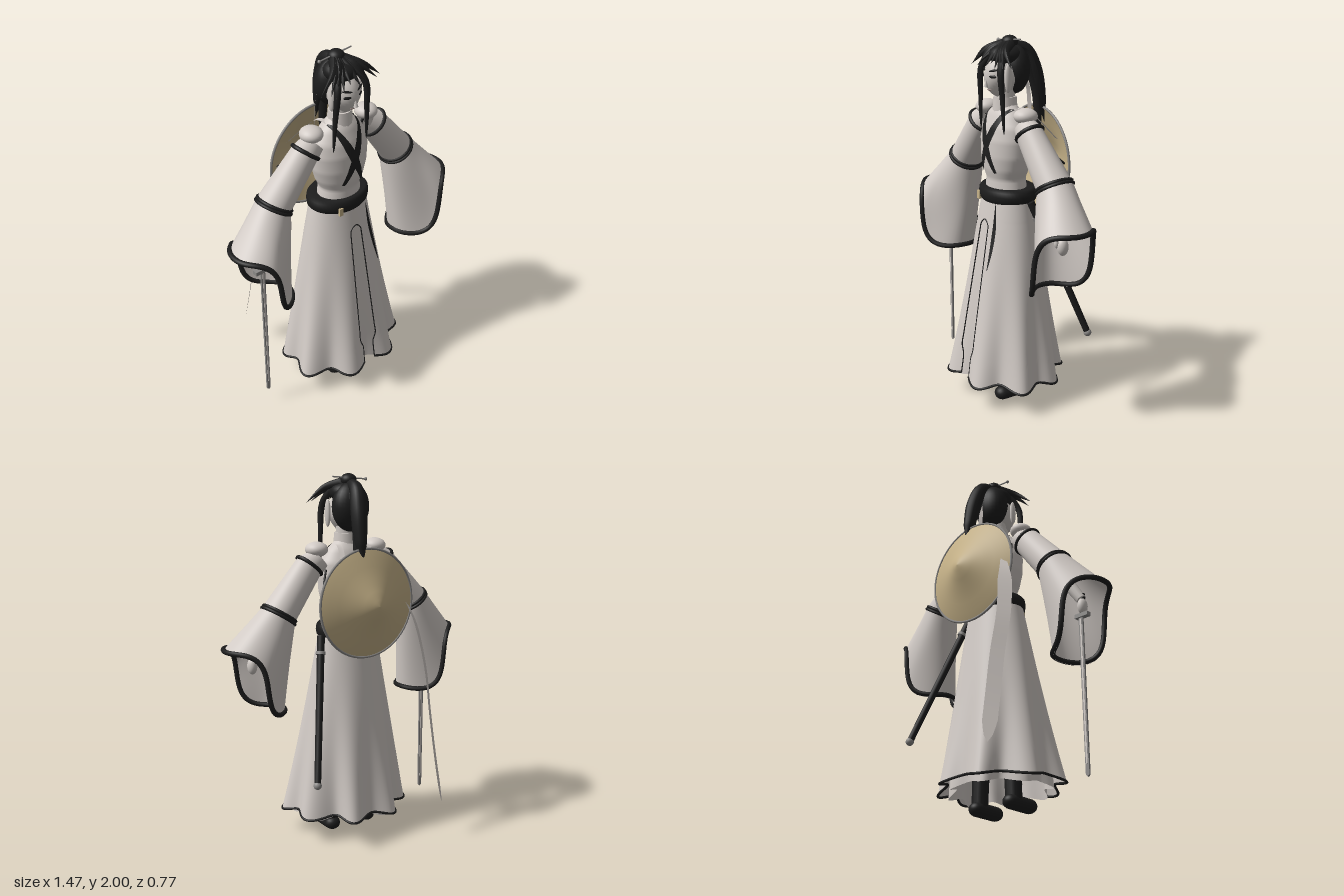
import * as THREE from 'three';
import { mergeVertices } from 'three/addons/utils/BufferGeometryUtils.js';

const V = (x, y, z) => new THREE.Vector3(x, y, z);
const mix = THREE.MathUtils.lerp;
const sstep = THREE.MathUtils.smoothstep;
const paint = (name, color) => {
  const m = new THREE.MeshStandardMaterial({ color, side: THREE.DoubleSide });
  m.name = name;
  return m;
};

// Grid surface from a rule f(u, v) -> Vector3, welded and smooth
function surface(f, nu, nv) {
  const pos = [], idx = [];
  for (let j = 0; j <= nv; j++)
    for (let i = 0; i <= nu; i++) pos.push(...f(i / nu, j / nv).toArray());
  for (let j = 0; j < nv; j++)
    for (let i = 0; i < nu; i++) {
      const a = j * (nu + 1) + i, b = a + nu + 1;
      idx.push(a, b, a + 1, a + 1, b, b + 1);
    }
  let g = new THREE.BufferGeometry();
  g.setAttribute('position', new THREE.Float32BufferAttribute(pos, 3));
  g.setIndex(idx);
  g = mergeVertices(g, 1e-5);
  g.computeVertexNormals();
  return g;
}

const curveOf = (pts, closed = false) => new THREE.CatmullRomCurve3(pts.map(p => p.isVector3 ? p : V(...p)), closed);
const tube = (pts, r, closed = false, n = 40) => new THREE.TubeGeometry(curveOf(pts, closed), n, r, 8, closed);

// Tube whose radius follows profile(t)
function lock(pts, r, profile = t => Math.sqrt(Math.max(0, 1 - t)), n = 20, sides = 8) {
  const c = curveOf(pts), g = new THREE.TubeGeometry(c, n, r, sides), p = g.attributes.position, v = V(0, 0, 0);
  for (let i = 0; i <= n; i++) {
    const o = c.getPointAt(i / n);
    for (let k = 0; k <= sides; k++) {
      const q = i * (sides + 1) + k;
      v.fromBufferAttribute(p, q).sub(o).multiplyScalar(profile(i / n)).add(o);
      p.setXYZ(q, v.x, v.y, v.z);
    }
  }
  g.computeVertexNormals();
  return g;
}

// Flat strip of cloth along a path
function strip(pts, width, dir, taper = t => 1) {
  const c = curveOf(pts), d = V(...dir).normalize();
  return surface((u, v) => c.getPointAt(v).addScaledVector(d, (u - 0.5) * width * taper(v)), 2, 30);
}

// Interpolate rows of numbers by their first entry
function row(table, k) {
  let i = 0;
  while (i < table.length - 2 && k > table[i + 1][0]) i++;
  const a = table[i], b = table[i + 1], t = THREE.MathUtils.clamp((k - a[0]) / (b[0] - a[0]), 0, 1);
  return a.map((x, n) => mix(x, b[n], t));
}

// Torso rows: height, half width, half depth
const TORSO = [[1.15, 0.135, 0.105], [1.25, 0.118, 0.1], [1.3, 0.142, 0.113], [1.37, 0.162, 0.121], [1.46, 0.17, 0.119],
  [1.53, 0.16, 0.105], [1.6, 0.115, 0.078], [1.645, 0.06, 0.05]];
const torsoZ = (x, y) => {
  const [, rx, rz] = row(TORSO, y);
  return 0.085 + rz * Math.sqrt(Math.max(0, 1 - (x / rx) ** 2));
};

// Skirt point at angle a from the front, t from waist to hem; the back corners are drawn in
function skirtPoint(a, t, scale = 1, drop = 0) {
  const fold = 1 + 0.095 * t * t * Math.cos(8 * a + Math.PI);
  const tuck = Math.cos(a) < 0 ? 1 - 0.17 * t * t * Math.sin(2 * a) ** 2 : 1;
  return V(Math.sin(a) * mix(0.17, 0.35, t) * fold * tuck * scale,
    mix(1.15, 0.14 - drop, t) + 0.012 * t ** 4 * Math.cos(8 * a),
    mix(0.075, 0.09, t) + Math.cos(a) * mix(0.125, 0.29, t) * fold * scale);
}
const slitTop = 0.12;
function slitAngle(t) {
  if (t <= slitTop) return 0;
  const x = Math.min(1, Math.sqrt((t - slitTop) / 0.03)) * (mix(0.032, 0.064, t) - 0.022 * sstep(t, 0.84, 0.9));
  return Math.asin(x / mix(0.17, 0.35, t));
}

// Sleeve rows: station, upper x y, lower x y, centre z, half depth
const SLEEVE = [[0, 0.22, 1.6, 0.13, 1.5, 0.085, 0.055], [0.15, 0.29, 1.57, 0.17, 1.47, 0.09, 0.068],
  [0.55, 0.51, 1.33, 0.35, 1.23, 0.072, 0.095], [1, 0.725, 1.095, 0.4, 0.745, 0.12, 0.18]];
function sleevePoint(s, a, t, grow = 1) {
  const [, px, py, qx, qy, zc, hz] = row(SLEEVE, t), m = sstep(t, 0.55, 1);
  const box = k => Math.sign(k) * Math.abs(k) ** mix(1, 0.87, m);
  const c = box(Math.cos(a)), p = c * grow, out = m * (1 - c * c) * (0.02 - 0.17 * c);
  return V(s * ((px + qx) / 2 + p * (px - qx) / 2 + 0.73 * out),
    (py + qy) / 2 + p * (py - qy) / 2 - 0.67 * out, zc + box(Math.sin(a)) * hz * grow);
}
const loop = (f, n = 48) => Array.from({ length: n }, (_, i) => f(i / n * Math.PI * 2));

export function createModel() {
  const model = new THREE.Group();
  model.name = 'wanderingSwordsman';
  const cloth = paint('cloth', 0xd2cbc6), skin = paint('skin', 0xcdc7c2), black = paint('black', 0x1d1d1d),
    straw = paint('straw', 0xc8b48a), metal = paint('metal', 0x8c8a88), lip = paint('lip', 0x94807c);
  const add = (name, geo, mat, at = [0, 0, 0], scale = [1, 1, 1]) => {
    const m = new THREE.Mesh(geo, mat);
    m.name = name;
    m.position.set(...at);
    m.scale.set(...scale);
    model.add(m);
    return m;
  };
  const ball = (name, mat, at, scale) => add(name, new THREE.SphereGeometry(1, 28, 18), mat, at, scale);
  const rod = (name, mat, a, b, r, r2 = r) => {
    const A = V(...a), B = V(...b);
    const m = add(name, new THREE.CylinderGeometry(r2, r, A.distanceTo(B), 14), mat, A.clone().add(B).multiplyScalar(0.5).toArray());
    m.quaternion.setFromUnitVectors(V(0, 1, 0), B.sub(A).normalize());
    return m;
  };

  // Torso, neck, collar and belt
  add('torso', surface((u, v) => {
    const [y, rx, rz] = row(TORSO, mix(1.15, 1.645, v)), a = u * Math.PI * 2;
    return V(Math.sin(a) * rx, y, 0.085 + Math.cos(a) * rz);
  }, 48, 40), cloth);
  rod('neck', skin, [0, 1.59, 0.09], [0, 1.74, 0.09], 0.055, 0.052);
  rod('collar', cloth, [0, 1.6, 0.09], [0, 1.685, 0.09], 0.068, 0.062);
  const beltShape = [[0.12, 1.125], [0.165, 1.122], [0.18, 1.14], [0.184, 1.165], [0.18, 1.19], [0.165, 1.205], [0.11, 1.2]];
  add('belt', new THREE.LatheGeometry(beltShape.map(p => new THREE.Vector2(...p)), 48), black, [0, 0, 0.075], [1, 1, 0.78]);
  add('beltClasp', new THREE.BoxGeometry(0.025, 0.045, 0.012), straw, [-0.088, 1.145, 0.203]);
  add('sashEnd', strip([[0.085, 1.13, 0.206], [0.097, 1.0, 0.224], [0.108, 0.88, 0.254], [0.116, 0.78, 0.286]], 0.024, [1, 0, -0.3],
    t => 0.15 + Math.sin(Math.PI * t) * 0.85), black);

  // Crossed lapels following the chest
  for (const s of [-1, 1]) add('lapel', surface((u, v) => {
    const w = (u - 0.5) * 0.05 * (0.35 + 0.65 * Math.sin(Math.PI * v)), y = mix(1.625, 1.29, v) + 0.3 * w;
    const x = s * (mix(-0.085, 0.062, v) + 0.9 * w);
    return V(x, y, torsoZ(x, y) + 0.006 + (s > 0 ? 0.002 : 0));
  }, 4, 30), black);

  // Skirt, open at the front over a narrower inner skirt
  add('skirt', surface((u, v) => {
    const g = slitAngle(v);
    return skirtPoint(mix(g, Math.PI * 2 - g, u), v);
  }, 128, 70), cloth);
  add('innerSkirt', surface((u, v) => skirtPoint(u * Math.PI * 2, v, mix(0.97, 0.82, v * v), 0.025), 96, 24), cloth);
  const g1 = slitAngle(1);
  add('skirtHem', tube(Array.from({ length: 97 }, (_, i) => skirtPoint(mix(g1, Math.PI * 2 - g1, i / 96), 1)), 0.007, false, 190), black);
  const edge = Array.from({ length: 31 }, (_, i) => mix(slitTop, 1, (i / 30) ** 2));
  add('slitTrim', tube([...edge.slice(1).reverse().map(t => skirtPoint(-slitAngle(t), t)),
    ...edge.map(t => skirtPoint(slitAngle(t), t))], 0.0032, false, 160), black);

  for (const s of [-1, 1]) {
    // Sleeves, trims, arms and hands
    ball('shoulder', cloth, [s * 0.187, 1.605, 0.085], [0.061, 0.041, 0.064]);
    add('sleeve', surface((u, v) => sleevePoint(s, u * Math.PI * 2, v), 56, 40), cloth);
    add('upperTrim', tube(loop(a => sleevePoint(s, a, 0.15)), 0.011, true, 64), black);
    for (const t of [0.54, 0.56]) add('elbowTrim', tube(loop(a => sleevePoint(s, a, t)), 0.009, true, 64), black);
    add('cuffTrim', tube(loop(a => sleevePoint(s, a, 0.985, 1.01), 64), 0.014, true, 120), black);
    rod('forearm', skin, [s * 0.42, 1.29, 0.08], [s * 0.565, 1.05, 0.12], 0.04, 0.028);
    ball('hand', skin, [s * 0.57, 1.01, 0.12], [0.026, 0.045, 0.03]);
    ball('thumb', skin, [s * 0.555, 1.03, 0.148], [0.012, 0.025, 0.012]);

    // Legs and shoes
    rod('leg', black, [s * 0.118, 0.05, 0.075], [s * 0.1, 0.6, 0.075], 0.043, 0.055);
    add('legWrap', new THREE.CylinderGeometry(0.036, 0.034, 0.07, 16), cloth, [s * 0.118, 0.105, 0.087]);
    const shoe = add('shoe', new THREE.CapsuleGeometry(0.045, 0.135, 8, 18), black, [s * 0.118, 0.039, 0.122], [1, 1, 0.86]);
    shoe.rotation.x = Math.PI / 2;

    // Face features, ears and side hair
    const eye = ball('eye', black, [s * 0.04, 1.797, 0.192], [0.024, 0.009, 0.006]);
    eye.rotation.y = s * 0.4;
    const brow = ball('brow', black, [s * 0.04, 1.828, 0.188], [0.029, 0.006, 0.006]);
    brow.rotation.set(0, s * 0.4, s * 0.2);
    ball('ear', skin, [s * 0.09, 1.79, 0.127], [0.014, 0.075, 0.022]);
    add('longLock', lock([[s * 0.05, 1.93, 0.12], [s * 0.092, 1.84, 0.175], [s * 0.107, 1.68, 0.175], [s * 0.113, 1.5, 0.17]], 0.021), black);

    // Straps holding the hat
    add('hatStrap', strip([[s * 0.07, 1.62, 0.1], [s * 0.085, 1.625, 0.02], [s * 0.11, 1.56, -0.05], [s * 0.17, 1.46, -0.125]], 0.03, [1, 0, 0.2 * s]), cloth);
    add('hatCord', tube([[s * 0.17, 1.5, 0.02], [s * 0.22, 1.42, -0.04], [s * 0.25, 1.34, -0.12]], 0.006), black);
  }

  // Head tapering to the chin
  const head = new THREE.SphereGeometry(1, 32, 24), hp = head.attributes.position;
  for (let i = 0; i < hp.count; i++) hp.setX(i, hp.getX(i) * (1 - 0.35 * sstep(-hp.getY(i), 0, 1)));
  head.computeVertexNormals();
  add('head', head, skin, [0, 1.79, 0.1], [0.086, 0.112, 0.108]);
  const nose = add('nose', new THREE.ConeGeometry(0.012, 0.055, 8), skin, [0, 1.768, 0.205]);
  nose.rotation.x = -0.15;
  ball('mouth', lip, [0, 1.725, 0.186], [0.02, 0.005, 0.006]);

  // Hair cap, bun, pin, fringe and tail
  ball('hairCap', black, [0, 1.825, 0.04], [0.107, 0.132, 0.082]);
  ball('hairCrown', black, [0, 1.9, 0.085], [0.088, 0.058, 0.095]);
  ball('bun', black, [0, 1.965, 0.06], [0.044, 0.035, 0.044]);
  rod('hairPin', metal, [-0.11, 1.967, 0.06], [0.1, 1.985, 0.06], 0.004);
  ball('pinHead', metal, [-0.11, 1.967, 0.06], [0.009, 0.009, 0.009]);
  const tips = [[-0.195, 1.845, 0.17], [-0.155, 1.845, 0.2], [-0.115, 1.81, 0.19], [-0.08, 1.845, 0.21], [-0.04, 1.875, 0.215],
    [0.02, 1.85, 0.225], [0.06, 1.87, 0.215], [0.085, 1.84, 0.21], [0.115, 1.81, 0.19], [0.15, 1.85, 0.2], [0.195, 1.845, 0.175]];
  for (const [x, y, z] of tips)
    add('fringe', lock([[x * 0.15, 1.95, 0.08], [x * 0.5, 1.925, 0.145], [x, y, z]], 0.029, t => 1 - t), black);
  const tailShape = t => 0.6 + 0.4 * Math.sin(Math.PI * Math.min(1, t * 1.2)) - 0.55 * sstep(t, 0.75, 1);
  add('ponytail', lock([[0, 1.95, 0.05], [0.01, 1.92, -0.03], [0.025, 1.82, -0.075], [0.035, 1.66, -0.11], [0.035, 1.53, -0.14]], 0.044, tailShape, 30, 14), black);
  add('backLock', lock([[0.02, 1.9, -0.02], [0.04, 1.7, -0.08], [0.04, 1.45, -0.09], [0.03, 1.08, -0.07]], 0.028), black);
  add('hairRibbon', strip([[-0.01, 1.79, -0.05], [-0.02, 1.68, -0.075], [-0.02, 1.45, -0.085]], 0.022, [1, 0, -1],
    t => Math.min(1, 0.1 + t * 4)), cloth);

  // Straw hat on the back
  const hatShape = [[0.292, 0], [0.25, 0.02], [0.2, 0.039], [0.14, 0.064], [0.08, 0.093], [0.035, 0.115], [0.001, 0.122]];
  const hat = add('strawHat', new THREE.LatheGeometry(hatShape.map(p => new THREE.Vector2(...p)), 56), straw, [0, 1.325, -0.12]);
  hat.rotation.x = -Math.PI / 2;
  add('hatRim', new THREE.TorusGeometry(0.292, 0.007, 8, 64), metal, [0, 1.325, -0.12]);

  // Trailing ribbon
  add('ribbon', strip([[-0.24, 1.33, -0.13], [-0.285, 1.2, -0.17], [-0.322, 0.95, -0.22], [-0.322, 0.7, -0.27], [-0.33, 0.45, -0.315], [-0.342, 0.2, -0.365]],
    0.075, [1, 0, -1], t => Math.min(1, 0.35 + t * 4, Math.sqrt((1 - t) * 10))), cloth);

  // Scabbard at the left hip
  rod('scabbard', black, [0.185, 1.14, 0.05], [0.37, 0.4, -0.205], 0.021, 0.018);
  rod('scabbardCollar', metal, [0.205, 1.06, 0.022], [0.209, 1.045, 0.017], 0.027);
  ball('scabbardTip', metal, [0.37, 0.4, -0.205], [0.022, 0.022, 0.022]);

  // Sword in the right hand
  rod('swordGrip', black, [-0.565, 0.95, 0.12], [-0.575, 1.08, 0.12], 0.012);
  add('swordGuard', new THREE.BoxGeometry(0.08, 0.022, 0.03), metal, [-0.567, 0.957, 0.12]);
  const blade = new THREE.Shape([[-0.013, 0.95], [-0.011, 0.105], [0, 0.095], [0.011, 0.105], [0.013, 0.95]].map(p => new THREE.Vector2(...p)));
  add('swordBlade', new THREE.ExtrudeGeometry(blade, { depth: 0.01, bevelEnabled: false }), metal, [-0.557, 0, 0.115]);
  add('bladeGroove', new THREE.BoxGeometry(0.01, 0.78, 0.014), cloth, [-0.557, 0.55, 0.12]);
  return model;
}
